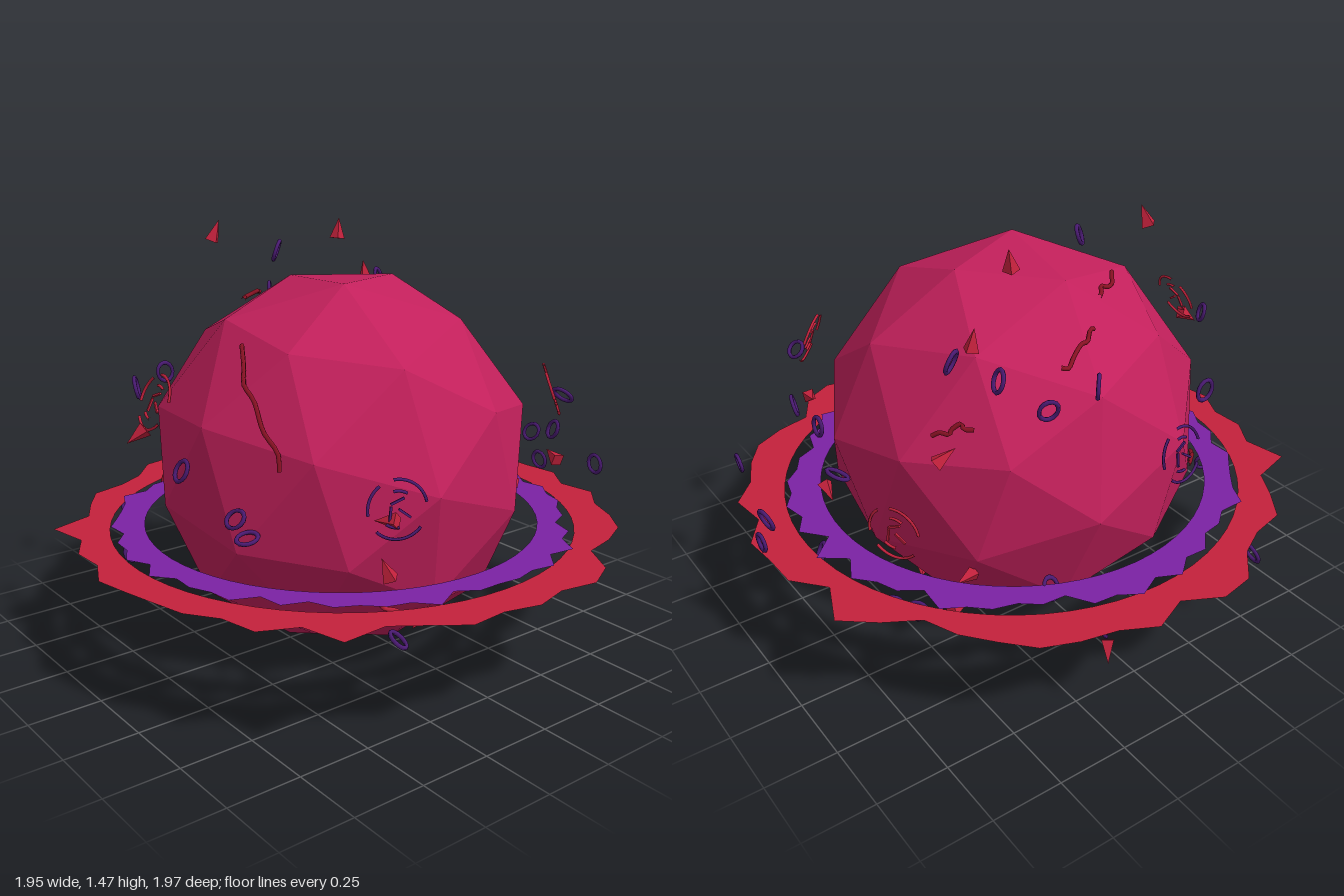
import * as THREE from 'three';

const V = (x, y, z) => new THREE.Vector3(x, y, z);
const CENTRE = V(-0.018, 0.65, -0.003), R = 0.667;

function material(name, color, side = THREE.FrontSide) {
  const m = new THREE.MeshStandardMaterial({ color, side });
  m.name = name;
  return m;
}

// Small seeded generator for tumbling debris and ragged edges
function seeded(seed) {
  return () => (seed = (seed * 16807) % 2147483647) / 2147483647;
}

// Flat annulus with a smooth inner edge and ragged outer edge, lying level
function raggedRing(inner, radii) {
  const n = radii.length, shape = new THREE.Shape();
  radii.forEach((r, i) => {
    const a = -i / n * Math.PI * 2;
    shape[i ? 'lineTo' : 'moveTo'](r * Math.cos(a), r * Math.sin(a));
  });
  shape.closePath();
  const hole = new THREE.Path();
  hole.absarc(0, 0, inner, 0, Math.PI * 2, false);
  shape.holes.push(hole);
  return new THREE.ShapeGeometry(shape, 32).rotateX(-Math.PI / 2);
}

export function createModel() {
  const model = new THREE.Group();
  const rand = seeded(4711);
  const magenta = material('magenta', 0xc2205b);
  const red = material('crimson', 0xc4213c);
  const redFlat = material('crimson', 0xc4213c, THREE.DoubleSide);
  const purpleFlat = material('purple', 0x7b22a4, THREE.DoubleSide);
  const violet = material('dark violet', 0x4a1a72);
  const darkRed = material('dark red', 0x8b1224);

  const add = (name, geometry, mat, parent = model) => {
    const mesh = new THREE.Mesh(geometry, mat);
    mesh.name = name;
    parent.add(mesh);
    return mesh;
  };
  const group = (name) => {
    const g = new THREE.Group();
    g.name = name;
    model.add(g);
    return g;
  };
  const tumble = (mesh) => mesh.rotation.set(rand() * 6.28, rand() * 6.28, rand() * 6.28);

  // Faceted core, turned so that one five-sided corner points up and slightly left
  const t = (1 + Math.sqrt(5)) / 2;
  const up = V(0.345, 0.938, 0).normalize();
  const across = V(-0.842, 0.329, 0.424).addScaledVector(up, -up.dot(V(-0.842, 0.329, 0.424))).normalize();
  const from = new THREE.Matrix4().makeBasis(V(1, t, 0).normalize(), V(-t, 1, 0).normalize(), V(0, 0, 1));
  const to = new THREE.Matrix4().makeBasis(up, across, up.clone().cross(across));
  const coreGeometry = new THREE.IcosahedronGeometry(R, 1).applyMatrix4(to.multiply(from.transpose()));
  coreGeometry.computeVertexNormals();
  add('core', coreGeometry, magenta).position.copy(CENTRE);

  // Two level rings with torn outer edges
  const outerRadii = [
    0.965, 0.986, 0.93, 0.99, 0.95, 0.97, 0.98, 0.945, 0.9, 0.98, 1.0, 0.95,
    0.975, 0.95, 0.985, 0.945, 0.925, 1.02, 0.93, 0.985, 0.935, 0.955, 0.945, 0.95,
    0.968, 0.92, 0.95, 0.925, 1.02, 0.915, 0.94, 0.97, 0.925, 0.93, 1.0, 1.0,
    0.925, 0.99, 0.955, 0.97, 0.98, 0.95, 0.93, 0.89, 0.95, 1.01, 0.9, 0.97];
  add('outerRing', raggedRing(0.825, outerRadii), redFlat).position.set(-0.015, 0.42, 0);
  const innerRadii = Array.from({ length: 64 }, (_, i) => 0.795 + (i % 2 ? 0.025 : -0.01) + (rand() - 0.5) * 0.06);
  add('innerRing', raggedRing(0.7, innerRadii), purpleFlat).position.set(-0.02, 0.43, 0);

  // Small drifting hoops
  const hoops = group('hoops');
  const hoopGeometry = new THREE.TorusGeometry(0.03, 0.007, 6, 14);
  [
    [-0.16, 1.37, -0.18], [0.48, 1.19, -0.4], [0.34, 1.1, -0.44], [0.15, 1.13, -0.68], [0.27, 1.05, -0.6],
    [-0.7, 0.96, -0.22], [-0.7, 0.74, 0.05], [-0.63, 0.62, 0.25], [-0.7, 0.36, -0.3], [-0.51, 0.31, -0.69],
    [0.75, 0.76, -0.14], [0.68, 0.78, 0.13], [0.57, 0.88, 0.5], [0.64, 0.72, 0.4], [0.86, 0.55, 0.42],
    [0.94, 0.57, 0.02], [0.95, 0.46, 0.06], [0.76, 0.36, 0.02], [0.67, 0.31, -0.3], [0.58, 0.24, -0.3],
    [0.27, 0.41, -0.63], [-0.46, 0.34, -0.8], [0.15, 0.27, -0.75], [-0.36, 0.31, 0.72], [-0.62, 0.57, 0.3],
    [-0.39, 0.9, -0.58],
  ].forEach((p) => {
    const hoop = add('hoop', hoopGeometry, violet, hoops);
    hoop.position.set(...p);
    hoop.scale.y = 1.2;
    tumble(hoop);
  });

  // Pointed splinters
  const shards = group('shards');
  const shardGeometry = new THREE.ConeGeometry(0.028, 0.075, 4).toNonIndexed();
  shardGeometry.computeVertexNormals();
  [
    [-0.33, 1.44, -0.3], [0.2, 1.41, -0.3], [0.39, 1.23, -0.38], [-0.8, 0.85, -0.05], [0.57, 0.95, -0.5],
    [0.53, 0.67, 0.5], [0.63, 0.46, 0.2], [-0.42, 0.56, 0.73], [0.46, 0.4, -0.42], [0.2, 0.26, -0.84],
    [-0.39, 0.69, 0.69], [0.42, 0.19, -0.07], [0.53, 0.36, -0.49],
  ].forEach((p, i) => {
    const shard = add('shard', shardGeometry, red, shards);
    shard.position.set(...p);
    if (i < 3) shard.rotation.set(0.2, i, -0.3);
    else tumble(shard);
  });

  // Broken circles that face away from the core, with short strokes inside
  [
    [-0.73, 0.95, -0.05, red], [0.69, 0.65, -0.38, red], [0.51, 0.91, 0.5, red],
    [-0.37, 0.73, 0.72, violet], [-0.15, 0.82, -0.74, violet],
  ].forEach(([x, y, z, mat]) => {
    const seal = group('brokenCircle');
    seal.position.set(x, y, z);
    seal.lookAt(V(x, y, z).multiplyScalar(2).sub(CENTRE));
    [[0.09, 0.2, 1.5], [0.09, 2.2, 1.1], [0.09, 3.9, 1.7], [0.055, 1, 0.8], [0.055, 4, 0.8]].forEach(([r, start, arc]) => {
      add('arc', new THREE.TorusGeometry(r, 0.005, 5, 12, arc), mat, seal).rotation.z = start;
    });
    for (let i = 0; i < 3; i++) {
      const stroke = add('stroke', new THREE.BoxGeometry(0.045, 0.007, 0.007), mat, seal);
      stroke.rotation.z = i * 2.1 + 0.4;
      stroke.position.set(Math.sin(i * 2.1) * 0.025, Math.cos(i * 2.1) * 0.025, 0);
    }
  });

  // Jagged cracks following the core's surface, from direction to direction
  const cracks = group('cracks');
  [
    [[-0.25, -0.31, 0.53], [0, -0.5, 0.42], red],
    [[0.02, -0.54, 0.36], [0.26, -0.56, 0.2], red],
    [[-0.51, 0.14, 0.38], [-0.45, 0.46, 0.06], darkRed],
    [[-0.04, 0.51, -0.4], [0.14, 0.43, -0.47], darkRed],
    [[-0.26, 0.56, -0.2], [-0.13, 0.56, -0.32], darkRed],
    [[0.42, 0.3, -0.4], [0.52, 0.25, -0.3], darkRed],
    [[-0.5, -0.1, -0.42], [-0.36, -0.05, -0.55], darkRed],
  ].forEach(([a, b, mat]) => {
    const start = V(...a), end = V(...b), points = [];
    for (let i = 0; i <= 6; i++) {
      const wobble = V(rand() - 0.5, rand() - 0.5, rand() - 0.5).multiplyScalar(0.035);
      points.push(start.clone().lerp(end, i / 6).add(wobble).setLength(0.652));
    }
    add('crack', new THREE.TubeGeometry(new THREE.CatmullRomCurve3(points), 18, 0.008, 5), mat, cracks);
  });
  cracks.position.copy(CENTRE);

  return model;
}
